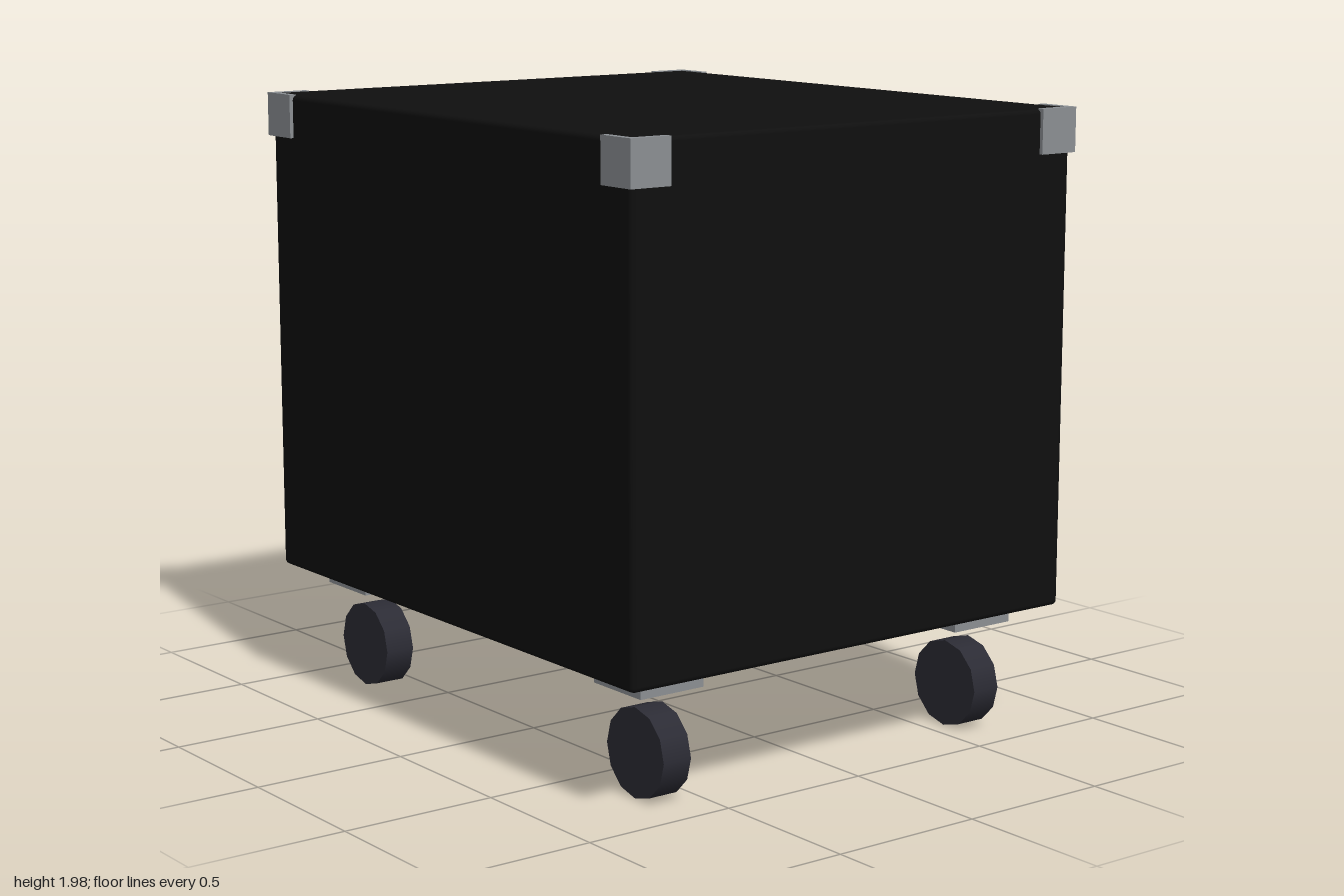
import * as THREE from 'three';
import { RoundedBoxGeometry } from 'three/addons/geometries/RoundedBoxGeometry.js';

const material = (name, color) => {
  const m = new THREE.MeshStandardMaterial({ color });
  m.name = name;
  return m;
};

export function createModel() {
  const black = material('case black', 0x0f0f0f);
  const steel = material('steel grey', 0x8c9094);
  const rubber = material('wheel rubber', 0x2c2c35);
  const panelGrey = material('panel grey', 0x48484a);
  const screenBlue = material('screen blue', 0x1f3860);
  const knobBlack = material('knob black', 0x0a0a0a);
  const knobGrey = material('knob grey', 0x8a8a8a);

  const root = new THREE.Group();
  root.name = 'rackCase';

  const add = (parent, name, geometry, mat, x, y, z) => {
    const mesh = new THREE.Mesh(geometry, mat);
    mesh.name = name;
    mesh.position.set(x, y, z);
    parent.add(mesh);
    return mesh;
  };
  const box = (w, h, d) => new THREE.BoxGeometry(w, h, d);

  // Case body with slightly softened edges
  const midZ = 0.007;
  add(root, 'caseBody', new RoundedBoxGeometry(1.68, 1.575, 1.96, 2, 0.016), black, 0, 1.1875, midZ);

  // L-shaped guards on the top corners
  const guardSize = 0.14, guardThick = 0.024;
  const guardFront = box(guardSize, guardSize, guardThick);
  const guardSide = box(guardThick, guardSize, guardSize - guardThick);
  // Castors: mounting plate and wheel
  const plateGeo = box(0.23, 0.06, 0.23);
  const wheelGeo = new THREE.CylinderGeometry(0.14, 0.14, 0.1, 12).rotateZ(Math.PI / 2);

  for (const sx of [-1, 1]) {
    for (const sz of [-1, 1]) {
      const guard = new THREE.Group();
      guard.name = 'cornerGuard';
      guard.position.set(sx * 0.852, 1.907, midZ + sz * 0.992);
      add(guard, 'guardFace', guardFront, steel, -sx * guardSize / 2, 0, -sz * guardThick / 2);
      add(guard, 'guardSide', guardSide, steel, -sx * guardThick / 2, 0, -sz * (guardSize + guardThick) / 2);
      root.add(guard);

      const castor = new THREE.Group();
      castor.name = 'castor';
      castor.position.set(sx * 0.615, 0, midZ + sz * 0.757);
      add(castor, 'mountingPlate', plateGeo, steel, 0, 0.37, 0);
      add(castor, 'wheel', wheelGeo, rubber, 0, 0.14, 0);
      root.add(castor);
    }
  }

  // Ten rack units on the back, each with a screen and a row of knobs
  const knobCounts = [5, 6, 5, 4, 9, 10, 9, 8, 7, 8];
  const greyFrom = [3, 5, 4, 4, 6, 8, 8, 7, 5, 6];
  const panelGeo = box(1.23, 0.115, 0.022);
  const screenGeo = box(0.165, 0.055, 0.004);
  const knobGeo = new THREE.CylinderGeometry(0.01, 0.01, 0.012, 8).rotateX(Math.PI / 2);
  knobCounts.forEach((count, row) => {
    const unit = new THREE.Group();
    unit.name = 'rackUnit';
    unit.position.set(0, 1.742 - row * 0.125, 0);
    add(unit, 'panel', panelGeo, panelGrey, 0, 0, -0.98);
    add(unit, 'screen', screenGeo, screenBlue, -0.43, 0, -0.992);
    for (let i = 0; i < count; i++) {
      const mat = i >= greyFrom[row] ? knobGrey : knobBlack;
      add(unit, 'knob', knobGeo, mat, i * 0.05, 0, -0.994);
    }
    root.add(unit);
  });

  return root;
}
